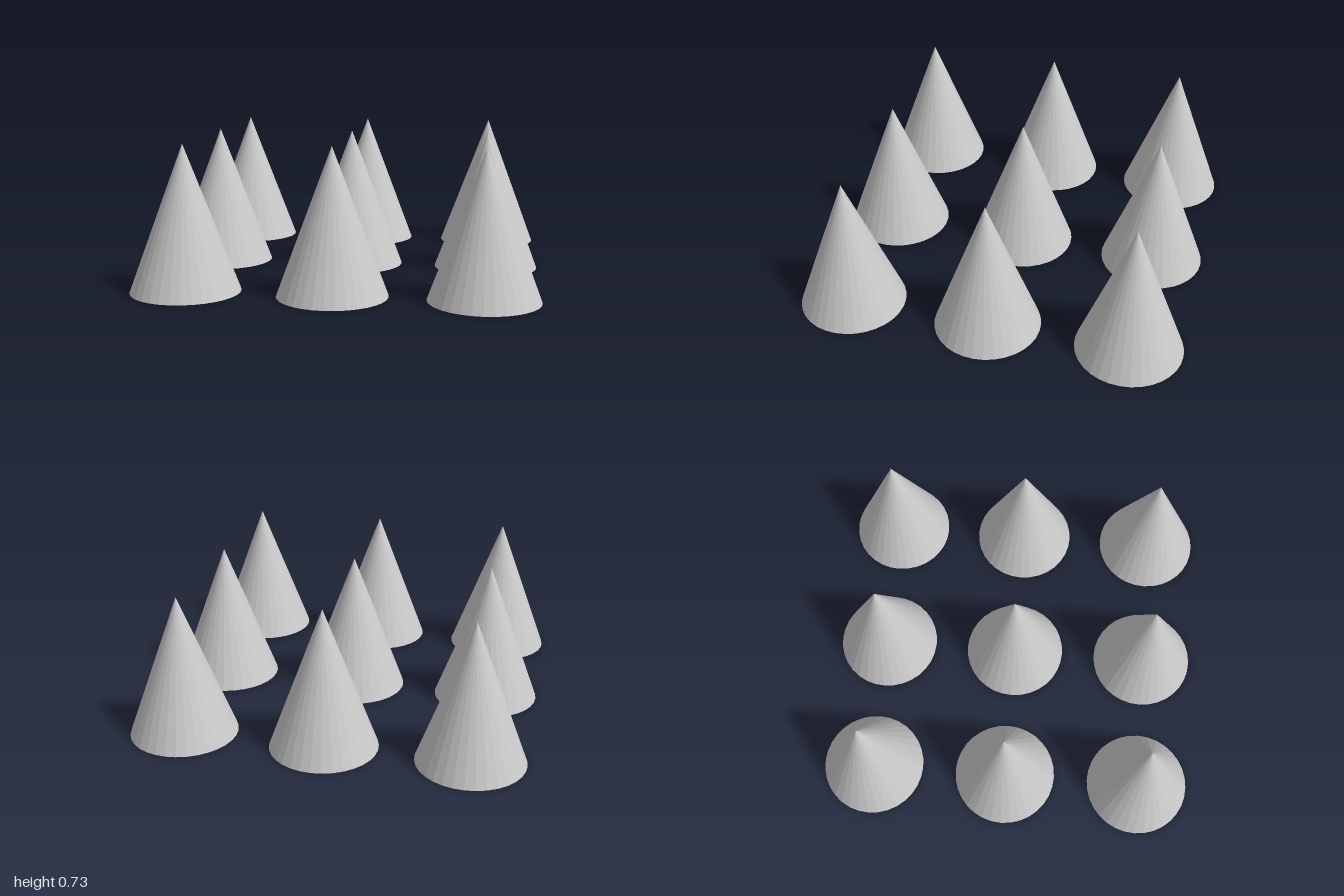
import * as THREE from 'three';

// Nine identical cones standing in a 3 x 3 grid
export function createModel() {
  const group = new THREE.Group();
  group.name = 'coneGrid';

  const radius = 3 / 11;
  const height = 8 / 11;
  const spacing = 1 - radius;

  // Closed, faceted cone with its base on the ground
  const geometry = new THREE.ConeGeometry(radius, height, 32);
  geometry.translate(0, height / 2, 0);
  const material = new THREE.MeshStandardMaterial({ color: 0xcccccc, flatShading: true });

  for (let row = -1; row <= 1; row++) {
    for (let column = -1; column <= 1; column++) {
      const cone = new THREE.Mesh(geometry, material);
      cone.name = `coneRow${row + 2}Column${column + 2}`;
      cone.position.set(column * spacing, 0, row * spacing);
      group.add(cone);
    }
  }
  return group;
}
